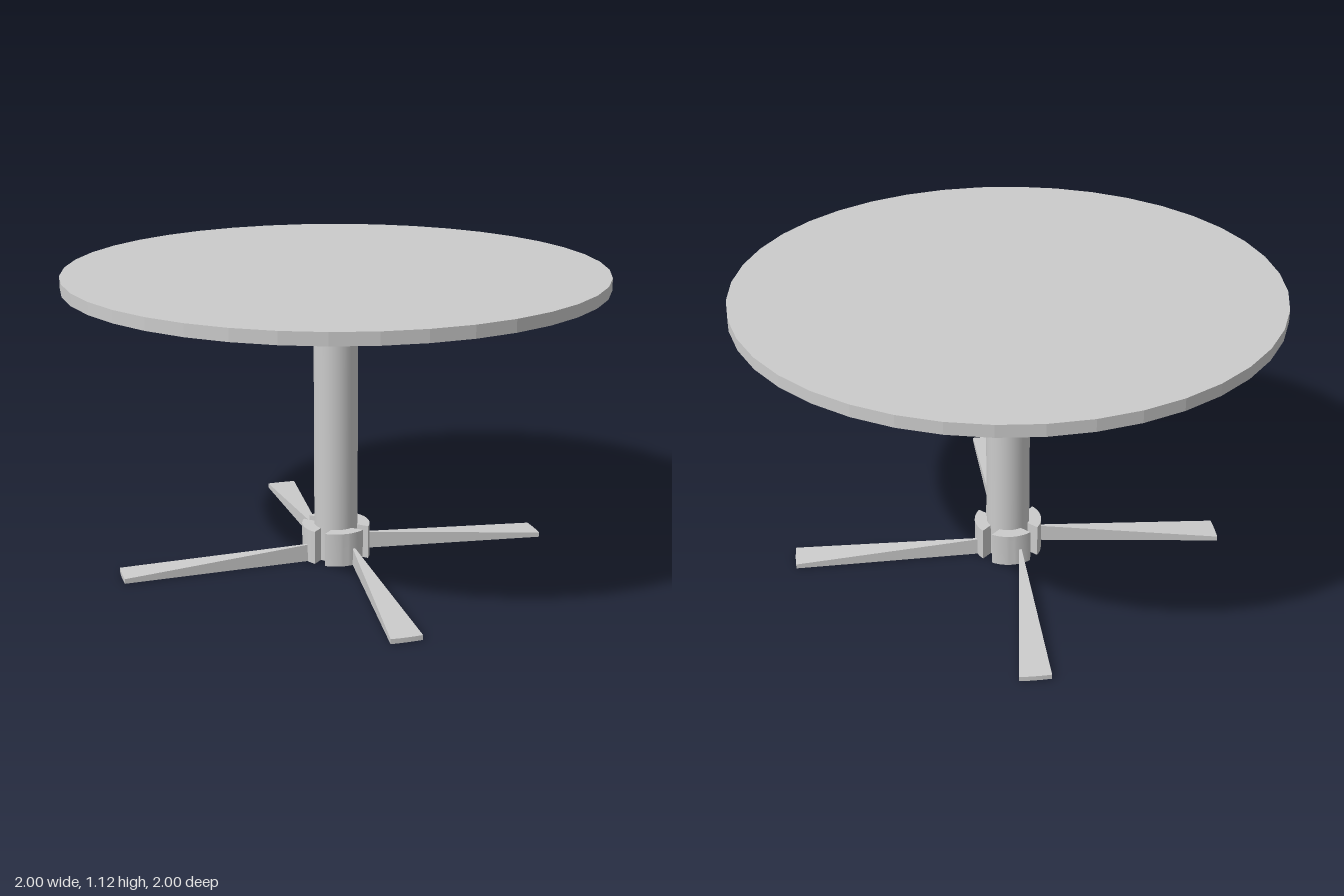
import * as THREE from 'three';
import { toCreasedNormals } from 'three/addons/utils/BufferGeometryUtils.js';

const TWIST = THREE.MathUtils.degToRad(9); // the base is turned slightly off the axes
const HUB_R = 0.13, HUB_H = 0.13, POST_R = 0.083;
const TOP_Y = 1.077, TOP_T = 0.045;
const LEG_R = 0.832;

// Extrude a plan outline upwards from y = 0
function extrudeUp(shape, height) {
  const geo = new THREE.ExtrudeGeometry(shape, { depth: height, bevelEnabled: false, curveSegments: 8 });
  return geo.rotateX(-Math.PI / 2);
}

// Tapered leg along +x: widens outwards, slopes down, rounded tip
function legGeometry() {
  const half = 0.058, tip = Math.asin(half / LEG_R);
  const shape = new THREE.Shape();
  shape.moveTo(0.06, -0.037);
  shape.absarc(0, 0, LEG_R, -tip, tip, false);
  shape.lineTo(0.06, 0.037);
  shape.closePath();
  const geo = extrudeUp(shape, 1);
  const pos = geo.attributes.position;
  for (let i = 0; i < pos.count; i++) {
    if (pos.getY(i) > 0.5) {
      pos.setY(i, THREE.MathUtils.mapLinear(pos.getX(i), 0.12, LEG_R, 0.067, 0.018));
    }
  }
  geo.computeVertexNormals();
  return geo;
}

// Round hub with a vertical slot midway between each pair of legs
function hubGeometry() {
  const w = 0.022, edge = Math.asin(w / HUB_R), inner = Math.asin(w / POST_R);
  const shape = new THREE.Shape();
  for (let i = 0; i < 4; i++) {
    const slot = Math.PI / 4 + i * Math.PI / 2;
    for (const a of [slot - inner, slot + inner]) {
      const x = POST_R * Math.cos(a), y = POST_R * Math.sin(a);
      if (i === 0 && a < slot) shape.moveTo(x, y);
      else shape.lineTo(x, y);
    }
    shape.absarc(0, 0, HUB_R, slot + edge, slot + Math.PI / 2 - edge, false);
  }
  shape.closePath();
  return toCreasedNormals(extrudeUp(shape, HUB_H), 0.5);
}

export function createModel() {
  const model = new THREE.Group();
  model.name = 'pedestalTable';
  const smooth = new THREE.MeshStandardMaterial({ color: 0xcccccc });
  const flat = new THREE.MeshStandardMaterial({ color: 0xcccccc, flatShading: true });
  const add = (parent, name, geo, mat, y = 0) => {
    const mesh = new THREE.Mesh(geo, mat);
    mesh.name = name;
    mesh.position.y = y;
    parent.add(mesh);
    return mesh;
  };

  // Table top and post
  add(model, 'tableTop', new THREE.CylinderGeometry(1, 1, TOP_T, 40), flat, TOP_Y + TOP_T / 2);
  add(model, 'post', new THREE.CylinderGeometry(POST_R, POST_R, TOP_Y, 40), smooth, TOP_Y / 2);

  // Hub and four legs
  const base = new THREE.Group();
  base.name = 'base';
  base.rotation.y = TWIST;
  add(base, 'hub', hubGeometry(), smooth);
  const legGeo = legGeometry();
  for (let i = 0; i < 4; i++) {
    add(base, 'leg' + (i + 1), legGeo, flat).rotation.y = i * Math.PI / 2;
  }
  model.add(base);
  return model;
}
